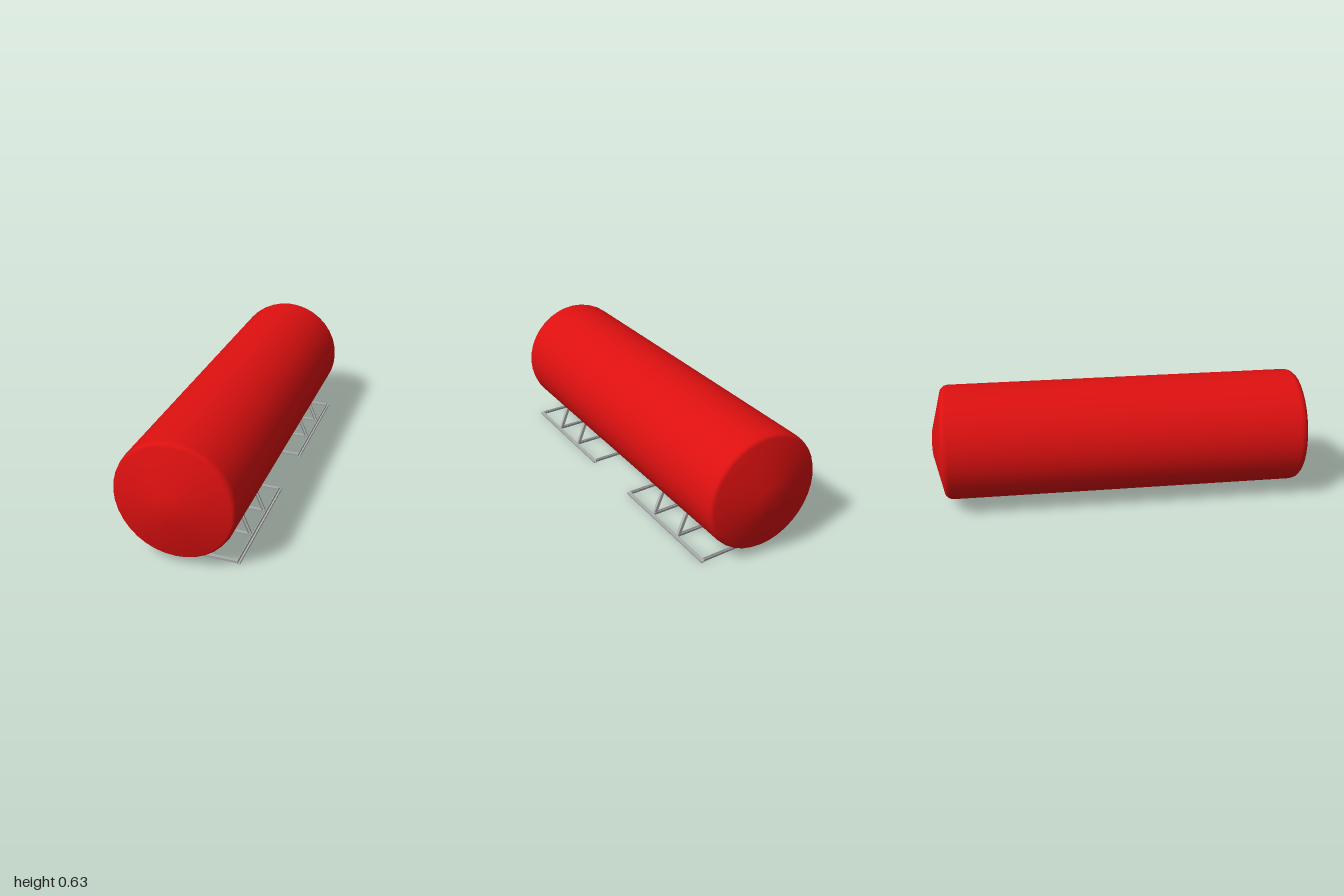
import * as THREE from 'three';

const red = new THREE.MeshStandardMaterial({ color: 0xdd1010 });
red.name = 'tankRed';
const steel = new THREE.MeshStandardMaterial({ color: 0xb0b4b2 });
steel.name = 'frameSteel';

// U-channel section, open upwards, centred on x with its base at y = 0
function channelShape(width, height, wall) {
  const w = width / 2;
  return new THREE.Shape([
    [-w, height], [-w + 0.002, 0], [w - 0.002, 0], [w, height],
    [w - wall, height], [w - wall - 0.002, wall], [-w + wall + 0.002, wall], [-w + wall, height],
  ].map(([x, y]) => new THREE.Vector2(x, y)));
}

// Channel beam between two points, opening towards "up"
function beam(name, from, to, up, width, height, wall = 0.003) {
  const dir = to.clone().sub(from);
  const length = dir.length();
  dir.normalize();
  const geo = new THREE.ExtrudeGeometry(channelShape(width, height, wall), { depth: length, bevelEnabled: false });
  const side = up.clone().cross(dir);
  geo.applyMatrix4(new THREE.Matrix4().makeBasis(side, up, dir).setPosition(from));
  const mesh = new THREE.Mesh(geo, steel);
  mesh.name = name;
  return mesh;
}

// Ladder frame with two slanted legs reaching the tank
function supportFrame(z) {
  const frame = new THREE.Group();
  frame.name = 'supportFrame';
  const v = (x, y, zz) => new THREE.Vector3(x, y, zz);
  const up = v(0, 1, 0);
  const half = 0.34;
  for (const [name, x] of [['innerRail', 0.051], ['outerRail', 0.284]]) {
    frame.add(beam(name, v(x, 0, -half), v(x, 0, half), up, 0.018, 0.015));
  }
  for (const cz of [-half + 0.009, -0.108, 0.108, half - 0.009]) {
    frame.add(beam('crossBar', v(0.057, 0.002, cz), v(0.278, 0.002, cz), up, 0.016, 0.013));
  }
  const leanAxis = v(0, 0, 1);
  for (const lz of [-0.108, 0.108]) {
    frame.add(beam('leg', v(0.266, 0.008, lz - 0.006), v(0.213, 0.134, lz - 0.006), leanAxis, 0.02, 0.013));
  }
  frame.position.z = z;
  return frame;
}

export function createModel() {
  const model = new THREE.Group();
  model.name = 'storageTank';

  // Cylindrical tank with shallow domed ends
  const end = [[0, 1], [0.075, 1], [0.285, 0.945], [0.298, 0.93], [0.3025, 0.91]];
  const profile = [
    ...end.map(([r, h]) => new THREE.Vector2(r, -h)),
    ...end.slice().reverse().map(([r, h]) => new THREE.Vector2(r, h)),
  ];
  const tank = new THREE.Mesh(new THREE.LatheGeometry(profile, 36), red);
  tank.name = 'tank';
  tank.rotation.x = Math.PI / 2;
  tank.position.y = 0.3305;
  model.add(tank);

  // Support frames under the left side
  model.add(supportFrame(0.515), supportFrame(-0.528));
  return model;
}
